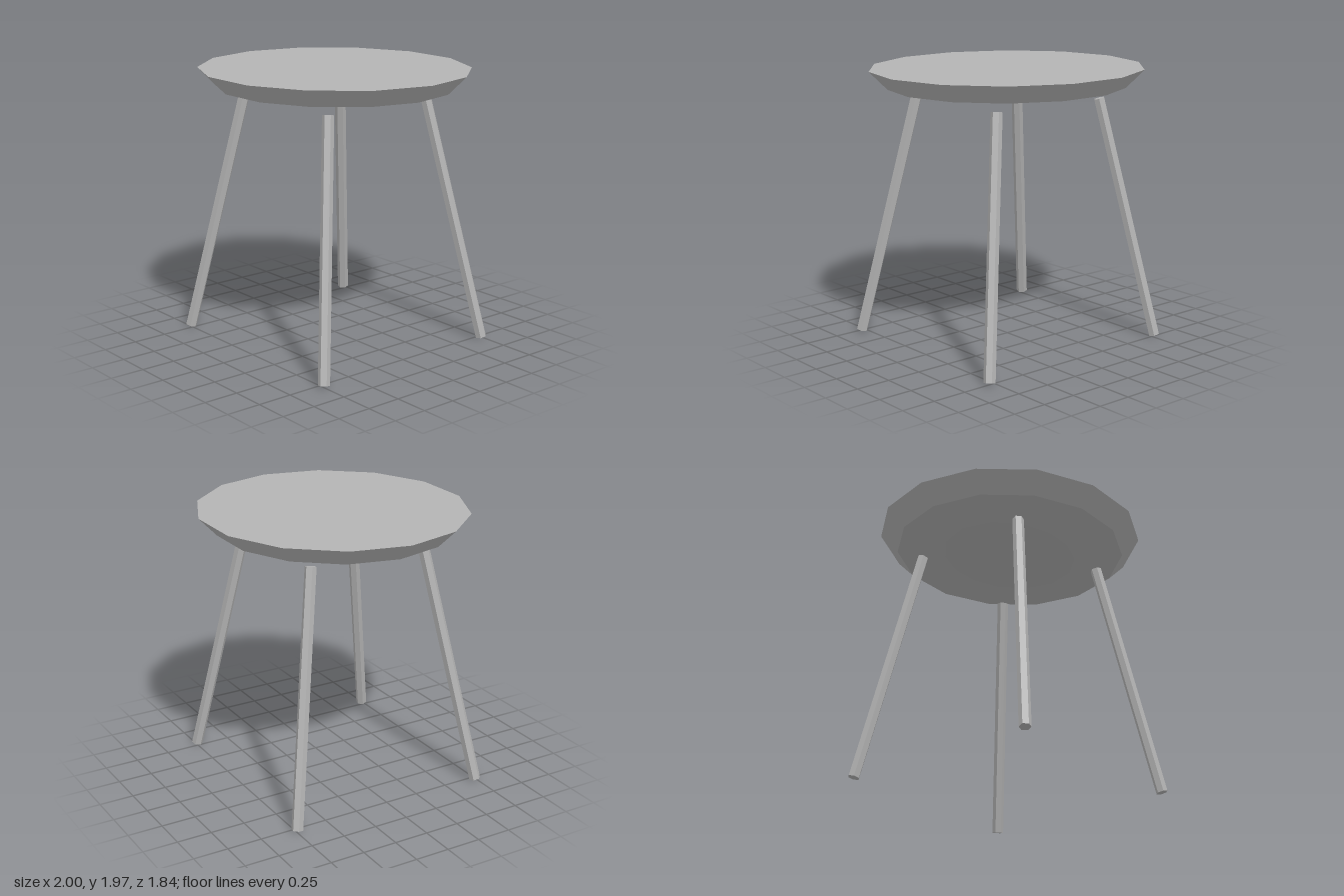
import * as THREE from 'three';
import { toCreasedNormals } from 'three/addons/utils/BufferGeometryUtils.js';

const DEPTH = 0.945; // the seat is slightly narrower front to back

export function createModel() {
  const group = new THREE.Group();
  const grey = new THREE.MeshStandardMaterial({ color: 0xb4b4b4 });
  grey.name = 'grey';

  // Seat: fourteen-sided shallow dish, flat on top, pointed underneath
  const profile = [[0, 1.755], [0.868, 1.84], [1, 1.97], [0, 1.97]]
    .map(([r, y]) => new THREE.Vector2(r, y));
  const seatGeometry = new THREE.LatheGeometry(profile, 14);
  seatGeometry.rotateY(Math.PI / 2);
  seatGeometry.scale(1, 1, DEPTH);
  const seat = new THREE.Mesh(toCreasedNormals(seatGeometry, 0.6), grey);
  seat.name = 'seat';
  group.add(seat);

  // Legs: six-sided rods splayed outwards, stopping just under the seat
  const foot = new THREE.Vector3(0.783, 0.009, 0.74);
  const head = new THREE.Vector3(0.472, 1.752, 0.447);
  const run = Math.hypot(foot.x - head.x, foot.z - head.z);
  const rise = head.y - foot.y;
  const rod = new THREE.CylinderGeometry(0.041, 0.041, Math.hypot(run, rise), 6);
  rod.rotateZ(Math.atan2(run, rise));
  const legGeometry = toCreasedNormals(rod, 0.3);
  const middle = foot.clone().add(head).multiplyScalar(0.5);

  for (const [side, sx] of [['Left', 1], ['Right', -1]]) {
    for (const [end, sz] of [['front', 1], ['back', -1]]) {
      const leg = new THREE.Mesh(legGeometry, grey);
      leg.name = `${end}${side}Leg`;
      leg.position.set(sx * middle.x, middle.y, sz * middle.z);
      leg.rotation.y = -Math.atan2(sz * middle.z, sx * middle.x);
      group.add(leg);
    }
  }
  return group;
}
